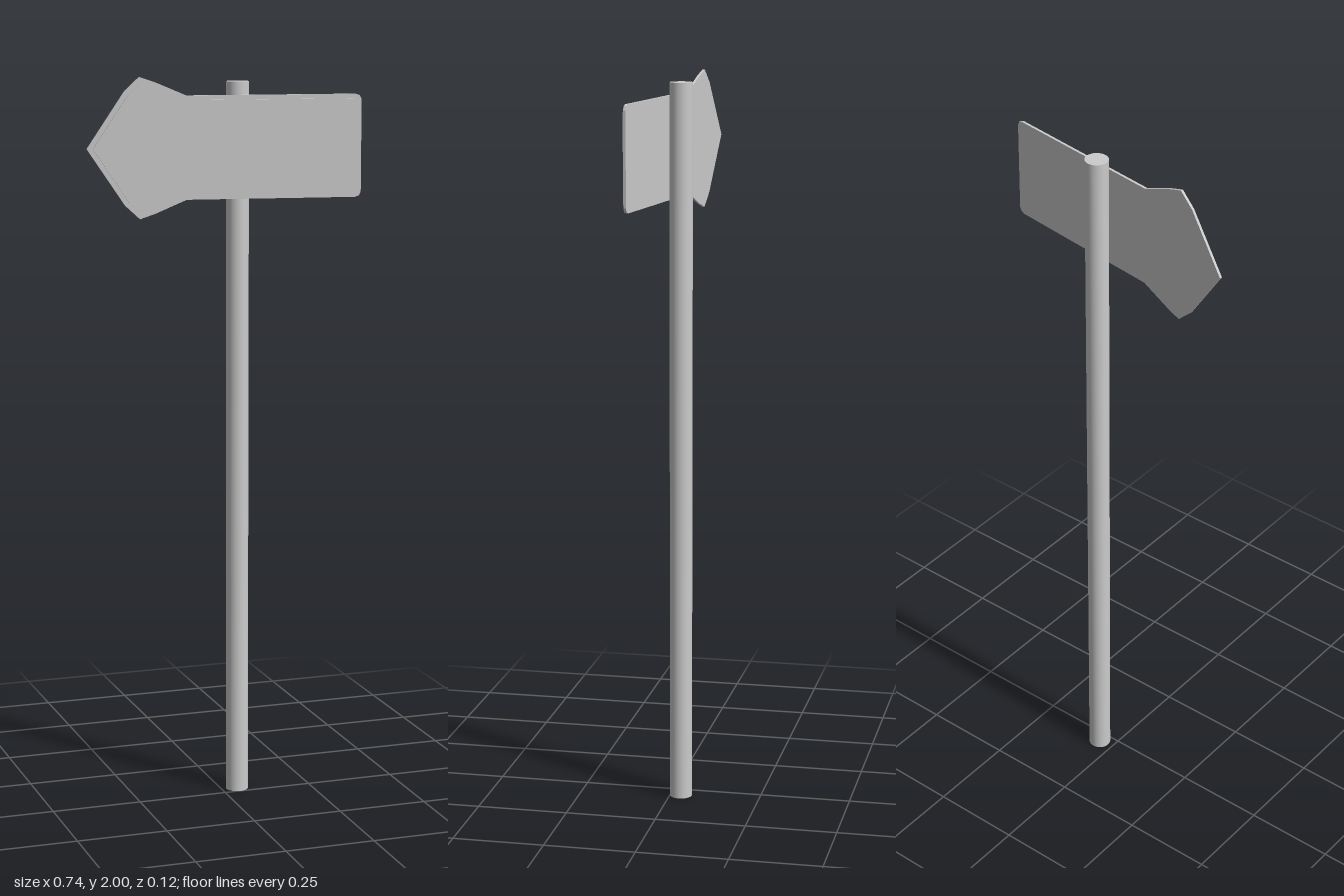
import * as THREE from 'three';

const MID_Y = 1.811;
const material = new THREE.MeshStandardMaterial({ color: 0xcccccc });

// Upper half of an arrow outline, from the tip to the tail; mirrored for the lower half
const boardOutline = [[-0.374, 0], [-0.272, 0.152], [-0.232, 0.189], [-0.19, 0.175],
  [-0.105, 0.139], [0.358, 0.139], [0.369, 0.135], [0.374, 0.124]];
const panelOutline = [[-0.358, 0], [-0.262, 0.143], [-0.229, 0.173], [-0.193, 0.161],
  [-0.108, 0.127], [0.35, 0.127], [0.358, 0.124], [0.361, 0.115]];

function arrowPlate(name, half, depth, z) {
  const lower = half.slice(1).reverse().map(([x, y]) => [x, -y]);
  const points = [...half, ...lower].map(([x, y]) => new THREE.Vector2(x, y));
  const geometry = new THREE.ExtrudeGeometry(new THREE.Shape(points), { depth, bevelEnabled: false });
  const mesh = new THREE.Mesh(geometry, material);
  mesh.name = name;
  mesh.position.z = z;
  return mesh;
}

export function createModel() {
  const model = new THREE.Group();
  model.name = 'signpost';

  // Round post standing behind the sign
  const height = 1.985;
  const post = new THREE.Mesh(new THREE.CylinderGeometry(0.031, 0.031, height, 32), material);
  post.name = 'post';
  post.position.set(0.045, height / 2, -0.03);
  model.add(post);

  // Arrow sign: a backing board with a slightly smaller raised panel, turned a little
  const sign = new THREE.Group();
  sign.name = 'arrowSign';
  sign.add(
    arrowPlate('backingBoard', boardOutline, 0.007, -0.0065),
    arrowPlate('frontPanel', panelOutline, 0.006, 0.0005),
  );
  sign.position.y = MID_Y;
  sign.rotation.y = -0.145;
  model.add(sign);

  return model;
}
